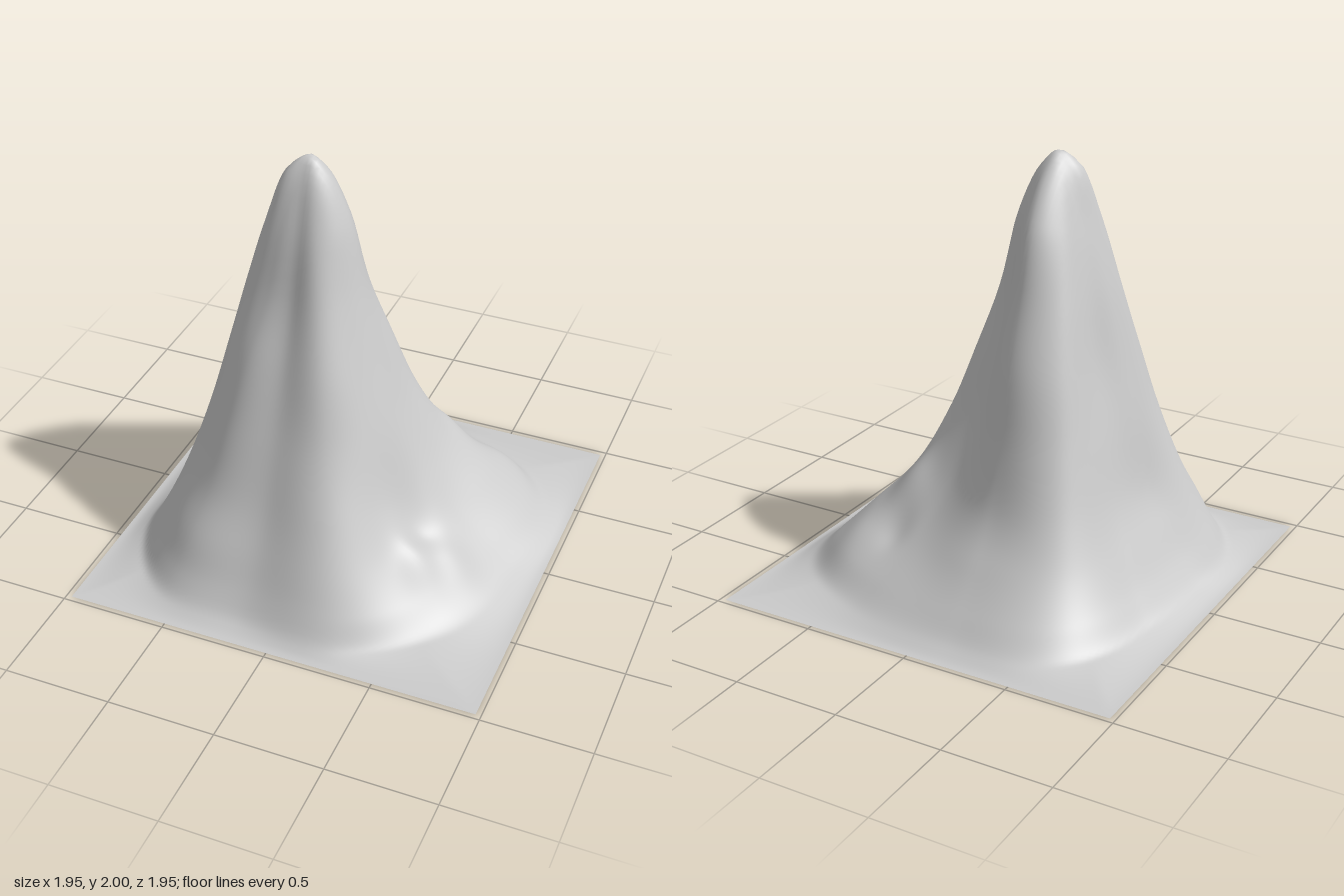
import * as THREE from 'three';

const HALF = 0.975;              // half side of the square base
const PEAK = { x: -0.15, z: 0.08 };

// Contour lines: height, then distance from the peak axis every 30 degrees,
// starting at +x and turning towards +z.
const CONTOURS = [
  [1.93, [0.08, 0.07, 0.06, 0.05, 0.06, 0.10, 0.09, 0.07, 0.08, 0.09, 0.08, 0.08]],
  [1.70, [0.19, 0.18, 0.16, 0.13, 0.15, 0.19, 0.17, 0.16, 0.21, 0.25, 0.19, 0.18]],
  [1.40, [0.26, 0.27, 0.27, 0.21, 0.23, 0.28, 0.26, 0.25, 0.33, 0.34, 0.25, 0.25]],
  [1.10, [0.35, 0.37, 0.39, 0.32, 0.36, 0.37, 0.33, 0.32, 0.44, 0.44, 0.33, 0.36]],
  [0.80, [0.45, 0.48, 0.50, 0.43, 0.47, 0.46, 0.40, 0.41, 0.54, 0.51, 0.42, 0.48]],
  [0.50, [0.58, 0.59, 0.65, 0.55, 0.59, 0.57, 0.46, 0.50, 0.66, 0.61, 0.56, 0.65]],
  [0.30, [0.71, 0.71, 0.76, 0.65, 0.71, 0.66, 0.55, 0.60, 0.77, 0.75, 0.72, 0.86]],
  [0.15, [0.86, 0.86, 0.85, 0.73, 0.79, 0.74, 0.63, 0.69, 0.89, 0.87, 0.90, 1.02]],
  [0.04, [1.01, 1.02, 0.93, 0.81, 0.88, 0.81, 0.72, 0.79, 1.01, 0.97, 1.05, 1.14]],
];

// Local spurs and hollows: x, z, size, amount
const BUMPS = [
  [0.50, 0.44, 0.10, 0.05],
  [0.62, 0.30, 0.10, 0.03],
  [0.42, 0.30, 0.11, -0.07],
  [0.37, -0.33, 0.10, 0.05],
  [0.36, -0.48, 0.08, -0.03],
  [0.58, -0.52, 0.12, 0.03],
];

// Smooth periodic interpolation around one contour
function radiusAt(ring, angle) {
  const n = ring.length;
  const t = ((angle / (2 * Math.PI)) * n + n) % n;
  const i = Math.floor(t), f = t - i;
  const [a, b, c, d] = [-1, 0, 1, 2].map((k) => ring[(i + k + n) % n]);
  return b + 0.5 * f * (c - a + f * (2 * a - 5 * b + 4 * c - d + f * (3 * (b - c) + d - a)));
}

// Monotone cubic through the points (r[i], h[i])
function profile(r, h, x) {
  let i = 0;
  while (i < r.length - 2 && x > r[i + 1]) i++;
  const slope = (k) => (h[k + 1] - h[k]) / (r[k + 1] - r[k]);
  const tangent = (k) => {
    if (k === 0 || k === r.length - 1) return 0;
    const s = slope(k - 1), t = slope(k);
    return (2 * s * t) / (s + t);
  };
  const w = r[i + 1] - r[i];
  const f = Math.min((x - r[i]) / w, 1), g = 1 - f;
  return h[i] * (1 + 2 * f) * g * g + h[i + 1] * f * f * (3 - 2 * f)
    + w * f * g * (tangent(i) * g - tangent(i + 1) * f);
}

function heightAt(x, z) {
  const dx = x - PEAK.x, dz = z - PEAK.z;
  const angle = Math.atan2(dz, dx);
  const c = Math.cos(angle), s = Math.sin(angle);
  // distance from the peak axis to the square edge in this direction
  const edge = Math.min(
    (HALF - Math.sign(c) * PEAK.x) / Math.max(Math.abs(c), 1e-6),
    (HALF - Math.sign(s) * PEAK.z) / Math.max(Math.abs(s), 1e-6),
  );
  const radii = [0], heights = [2];
  CONTOURS.forEach(([level, ring], i) => {
    const limit = edge * (1 - 0.05 * (CONTOURS.length - i));
    radii.push(Math.min(radiusAt(ring, angle), limit));
    heights.push(level);
  });
  radii.push(edge);
  heights.push(0);
  let y = profile(radii, heights, Math.hypot(dx, dz));
  for (const [bx, bz, size, amount] of BUMPS) {
    y += amount * Math.exp(-((x - bx) ** 2 + (z - bz) ** 2) / (size * size));
  }
  return Math.max(y, 0);
}

export function createModel() {
  const group = new THREE.Group();
  group.name = 'mountain';

  // Terrain sheet, open underneath
  const geometry = new THREE.PlaneGeometry(2 * HALF, 2 * HALF, 104, 104);
  geometry.rotateX(-Math.PI / 2);
  const pos = geometry.attributes.position;
  for (let i = 0; i < pos.count; i++) {
    const x = pos.getX(i), z = pos.getZ(i);
    const onEdge = Math.max(Math.abs(x), Math.abs(z)) > HALF - 1e-4;
    pos.setY(i, onEdge ? 0 : heightAt(x, z));
  }
  geometry.computeVertexNormals();

  const terrain = new THREE.Mesh(
    geometry,
    new THREE.MeshStandardMaterial({ color: 0xcccccc, side: THREE.DoubleSide }),
  );
  terrain.name = 'mountainSlopes';
  group.add(terrain);
  return group;
}
